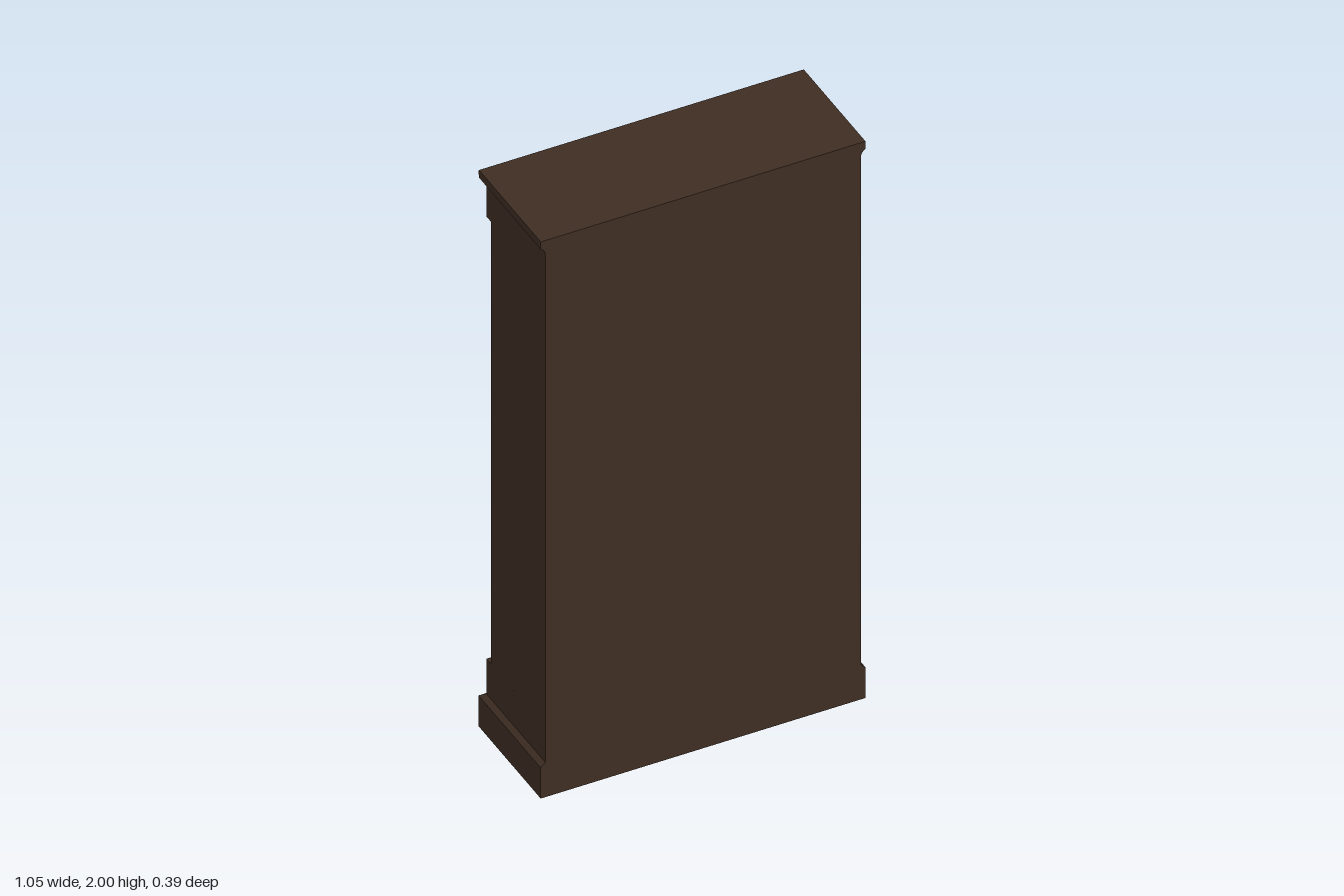
import * as THREE from 'three';

const mat = (name, color) => {
  const m = new THREE.MeshStandardMaterial({ color });
  m.name = name;
  return m;
};

export function createModel() {
  const wood = mat('dark wood', 0x3e2d23);
  const brown = mat('brown leather', 0x3c2c20);
  const umber = mat('umber leather', 0x35281d);
  const grey = mat('grey cloth', 0x544d50);
  const paper = mat('paper', 0x5c5658);

  const root = new THREE.Group();
  root.name = 'bookcase';

  const add = (parent, name, geo, material, x = 0, y = 0, z = 0) => {
    const m = new THREE.Mesh(geo, material);
    m.name = name;
    m.position.set(x, y, z);
    parent.add(m);
    return m;
  };
  const box = (parent, name, w, h, d, x, y, z, material = wood) =>
    add(parent, name, new THREE.BoxGeometry(w, h, d), material, x, y, z);

  // Extrudes an outline of [x, -z] points upward from y0 to y1
  const prism = (parent, name, pts, y0, y1) => {
    const shape = new THREE.Shape(pts.map((p) => new THREE.Vector2(p[0], p[1])));
    const geo = new THREE.ExtrudeGeometry(shape, { depth: y1 - y0, bevelEnabled: false });
    geo.rotateX(-Math.PI / 2);
    return add(parent, name, geo, wood, 0, y0, 0);
  };

  // Moulded slab: levels of [y, half width, z of open side]; the +z side stays flush
  const moulding = (name, levels) => {
    const pos = [], idx = [];
    const ring = ([y, w, z]) => [[-w, y, 0.195], [w, y, 0.195], [w, y, z], [-w, y, z]];
    const quad = (a, b, c, d) => {
      const n = pos.length / 3;
      pos.push(...a, ...b, ...c, ...d);
      idx.push(n, n + 1, n + 2, n, n + 2, n + 3);
    };
    const rings = levels.map(ring);
    for (let i = 0; i < rings.length - 1; i++) {
      for (let j = 0; j < 4; j++) {
        const k = (j + 1) % 4;
        quad(rings[i][j], rings[i][k], rings[i + 1][k], rings[i + 1][j]);
      }
    }
    const [a, b, c, d] = rings[0];
    quad(d, c, b, a);
    quad(...rings[rings.length - 1]);
    const geo = new THREE.BufferGeometry();
    geo.setAttribute('position', new THREE.Float32BufferAttribute(pos, 3));
    geo.setIndex(idx);
    geo.computeVertexNormals();
    return add(root, name, geo, wood);
  };

  // Carcass
  moulding('plinth', [[0, 0.525, -0.195], [0.11, 0.525, -0.195], [0.117, 0.518, -0.187], [0.125, 0.51, -0.175]]);
  moulding('cornice', [[1.95, 0.51, -0.175], [1.96, 0.512, -0.178], [1.968, 0.518, -0.185],
    [1.973, 0.525, -0.192], [1.995, 0.525, -0.195], [2, 0.525, -0.192]]);
  box(root, 'backPanel', 0.96, 1.83, 0.02, 0, 1.0375, 0.185);

  // Sides with a front stile, whose outer corner carries a stopped bead
  for (const s of [1, -1]) {
    const side = new THREE.Group();
    side.name = s > 0 ? 'leftSide' : 'rightSide';
    root.add(side);
    const inner = [[0.455, 0.175], [0.455, 0.14], [0.472, 0.14], [0.472, -0.195], [0.51, -0.195]];
    const bead = [[0.51, 0.146], [0.5, 0.146], [0.5, 0.15]];
    for (let i = 0; i <= 6; i++) {
      const a = (i / 6) * Math.PI / 2;
      bead.push([0.486 + 0.019 * Math.cos(a), 0.151 + 0.019 * Math.sin(a)]);
    }
    bead.push([0.482, 0.165], [0.482, 0.175]);
    const flip = (pts) => pts.map(([x, y]) => [s * x, y]);
    const square = flip([...inner, [0.51, 0.175]]);
    prism(side, 'lowerSide', square, 0.125, 0.25);
    prism(side, 'middleSide', flip([...inner, ...bead]), 0.25, 1.84);
    prism(side, 'upperSide', square, 1.84, 1.95);
  }

  // Shelves with rounded noses and end cleats
  const shelfTops = [0.43, 0.745, 1.06, 1.375, 1.69];
  const T = 0.034;
  for (const y of shelfTops) {
    const shelf = new THREE.Group();
    shelf.name = 'shelf';
    root.add(shelf);
    box(shelf, 'shelfBoard', 0.944, T, 0.315, 0, y - T / 2, 0.0175);
    const nose = new THREE.CylinderGeometry(T / 2, T / 2, 0.909, 12).rotateZ(Math.PI / 2);
    add(shelf, 'shelfNose', nose, wood, 0, y - T / 2, -0.14);
    for (const s of [1, -1]) box(shelf, 'cleat', 0.022, 0.025, 0.26, s * 0.461, y - T - 0.0125, 0.015);
  }

  // Books
  let seed = 7;
  const rnd = () => {
    seed = (seed * 16807) % 2147483647;
    return seed / 2147483647;
  };
  const books = new THREE.Group();
  books.name = 'books';
  root.add(books);

  // A book standing on its local origin, spine toward -z, with the page top inset
  const book = (w, h, d, material, x, y, frontZ) => {
    const g = new THREE.Group();
    g.name = 'book';
    g.position.set(x, y, frontZ);
    books.add(g);
    box(g, 'cover', w, h, d, 0, h / 2, d / 2, material);
    box(g, 'pageTop', w * 0.7, 0.002, d * 0.92, 0, h + 0.001, d / 2 + 0.006, paper);
    return g;
  };

  // Rows run from +x to -x; the grey list marks where the cloth-bound volumes stand
  const rows = [
    { y: 0.125, from: 0.015, to: -0.44, grey: [-0.065, -0.225, -0.385] },
    { y: 0.43, from: 0.42, to: -0.44, grey: [0.285, 0.1, -0.14, -0.275, -0.4] },
    { y: 0.745, from: 0.41, to: -0.44, grey: [0.325, 0.105, -0.04, -0.155, -0.375] },
    { y: 1.06, from: 0.41, to: -0.41, grey: [0.34, 0.185, 0.08, -0.085, -0.19, -0.355] },
    { y: 1.375, from: 0.14, to: -0.44, grey: [-0.035, -0.38], lean: -0.22 },
    { y: 1.69, from: 0.43, to: -0.44, grey: [0.32, 0.12, -0.07, -0.385] },
  ];
  for (const row of rows) {
    let x = row.from;
    let leant = row.lean === undefined;
    while (x > row.to + 0.022) {
      if (!leant && x < row.lean + 0.04) {
        // A tilted grey volume within the row
        book(0.035, 0.22, 0.17, grey, x - 0.062, row.y, -0.1).rotation.z = -0.14;
        x -= 0.085;
        leant = true;
        continue;
      }
      const w = Math.min(0.026 + rnd() * 0.024, x - row.to);
      const h = 0.195 + rnd() * 0.05;
      const isGrey = row.grey.some((g) => g <= x && g > x - w);
      const material = isGrey ? grey : rnd() < 0.5 ? brown : umber;
      book(w - 0.002, h, 0.15 + rnd() * 0.04, material, x - w / 2, row.y, -0.105 + rnd() * 0.025);
      x -= w;
    }
  }

  // Leaning book on the second shelf from the top
  book(0.03, 0.24, 0.17, umber, 0.285, 1.385, -0.09).rotation.z = 0.53;

  // Flat stack on the bottom with a grey volume leaning on it
  [[0.25, 0.036, brown, 0.22], [0.23, 0.03, umber, 0.225], [0.2, 0.04, brown, 0.23]].reduce((y, [w, h, m, x], i) => {
    box(books, 'stackedBook', w, h, 0.17, x, y + h / 2, -0.01 + i * 0.006, m).rotation.y = (i - 1) * 0.06;
    return y + h;
  }, 0.125);
  book(0.036, 0.235, 0.18, grey, 0.045, 0.127, -0.11).rotation.z = -0.17;
  book(0.03, 0.22, 0.05, umber, 0.2, 0.125, 0.115);

  return root;
}
